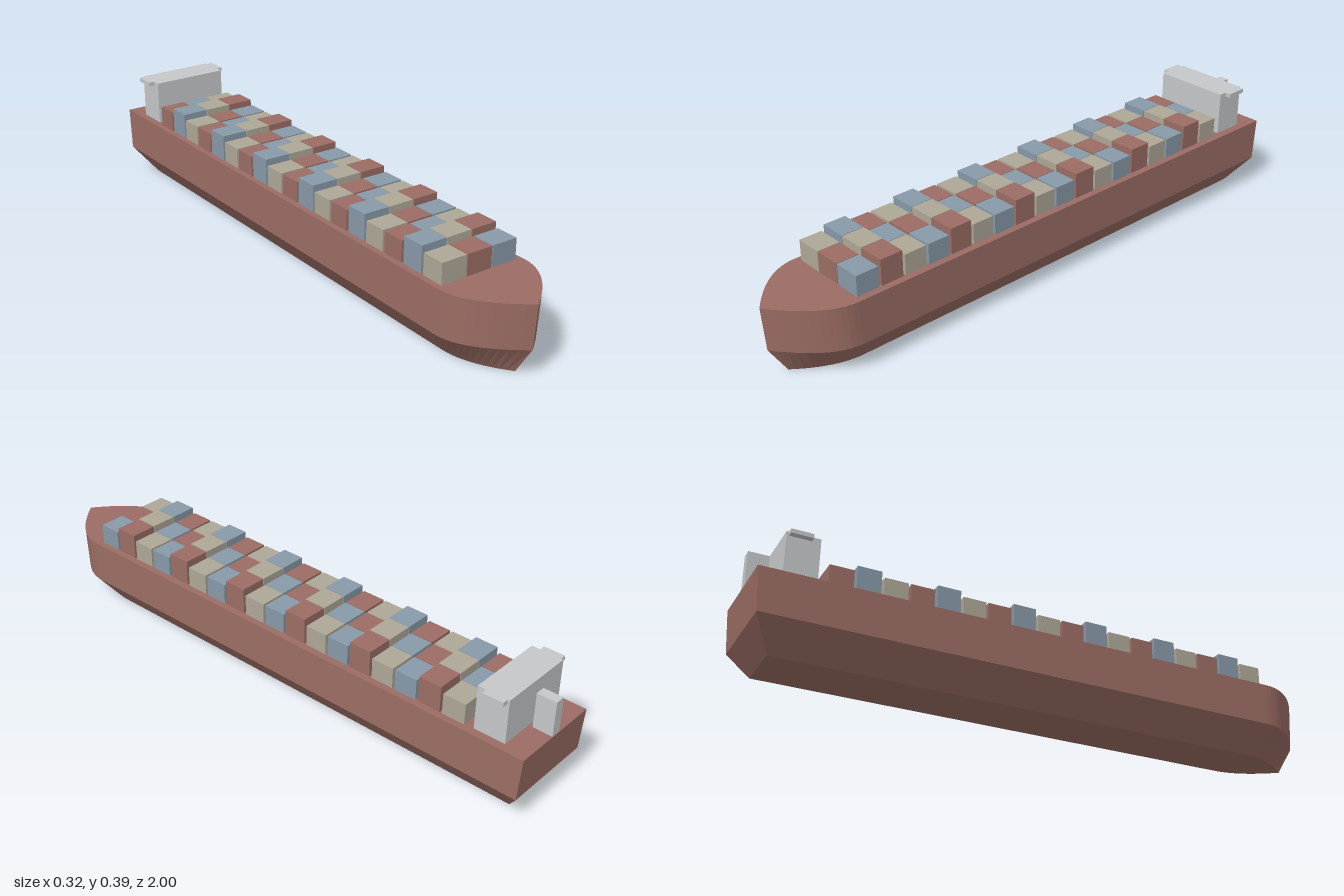
import * as THREE from 'three';

function material(name, color, options = {}) {
  const m = new THREE.MeshStandardMaterial({ color, ...options });
  m.name = name;
  return m;
}

// Deck outline as [x, z]: straight sides, square stern, curved pointed bow
function hullOutline() {
  const curve = new THREE.QuadraticBezierCurve(
    new THREE.Vector2(0.16, 0.78), new THREE.Vector2(0.158, 0.885), new THREE.Vector2(0, 1));
  const side = [[0.16, -1], ...curve.getPoints(12).map(p => [p.x, p.y])];
  const other = side.slice(0, -1).reverse().map(([x, z]) => [-x, z]);
  return [...side, ...other];
}

// Hull lofted through three scaled copies of the outline, closed by flat caps
function hullGeometry() {
  const levels = [
    { y: 0, sx: 0.55, sz: 0.93 },
    { y: 0.095, sx: 1, sz: 0.99 },
    { y: 0.24, sx: 1, sz: 1 },
  ];
  const outline = hullOutline();
  const n = outline.length;
  const rings = levels.map(l => outline.map(([x, z]) => [x * l.sx, l.y, z * l.sz]));
  const pos = [];
  const tri = (a, b, c) => pos.push(...a, ...b, ...c);
  for (let i = 0; i < n; i++) {
    const j = (i + 1) % n;
    for (let k = 0; k < 2; k++) {
      const lo = rings[k], hi = rings[k + 1];
      tri(lo[i], hi[i], lo[j]);
      tri(hi[i], hi[j], lo[j]);
    }
    tri([0, 0, 0], rings[0][i], rings[0][j]);
    tri([0, 0.24, 0], rings[2][j], rings[2][i]);
  }
  const g = new THREE.BufferGeometry();
  g.setAttribute('position', new THREE.Float32BufferAttribute(pos, 3));
  g.computeVertexNormals();
  return g;
}

export function createModel() {
  const ship = new THREE.Group();
  ship.name = 'containerShip';

  const rust = material('rustRed', 0x9b6d64, { flatShading: true });
  const blue = material('greyBlue', 0x8799a8);
  const beige = material('beige', 0xaea797);
  const grey = material('lightGrey', 0xc5c7c9);

  // Box given by its limits on each axis
  function box(name, mat, [x0, x1], [y0, y1], [z0, z1], parent = ship) {
    const m = new THREE.Mesh(new THREE.BoxGeometry(x1 - x0, y1 - y0, z1 - z0), mat);
    m.position.set((x0 + x1) / 2, (y0 + y1) / 2, (z0 + z1) / 2);
    m.name = name;
    parent.add(m);
    return m;
  }

  const hull = new THREE.Mesh(hullGeometry(), rust);
  hull.name = 'hull';
  ship.add(hull);

  // Containers: 18 rows of three, every third row stacked higher
  const cargo = new THREE.Group();
  cargo.name = 'containers';
  ship.add(cargo);
  const paints = [beige, blue, rust];
  for (let row = 0; row < 18; row++) {
    const z = 0.727 - row * 0.0866;
    const top = row % 3 === 1 ? 0.327 : 0.309;
    for (let col = 0; col < 3; col++) {
      const x = -0.0945 + col * 0.093;
      box('container', paints[(row + 2 * col) % 3],
        [x - 0.0453, x + 0.0453], [0.24, top], [z - 0.039, z + 0.039], cargo);
    }
  }

  // Bridge block with overhanging wings
  const bridge = new THREE.Group();
  bridge.name = 'bridge';
  ship.add(bridge);
  box('bridgeTower', grey, [-0.134, 0.132], [0.24, 0.388], [-0.92, -0.814], bridge);
  box('rightBridgeWing', grey, [-0.154, -0.134], [0.374, 0.388], [-0.913, -0.842], bridge);
  box('leftBridgeWing', grey, [0.132, 0.152], [0.374, 0.388], [-0.913, -0.842], bridge);

  // Funnel at the stern
  box('funnel', grey, [-0.018, 0.016], [0.24, 0.358], [-0.999, -0.933]);

  return ship;
}
